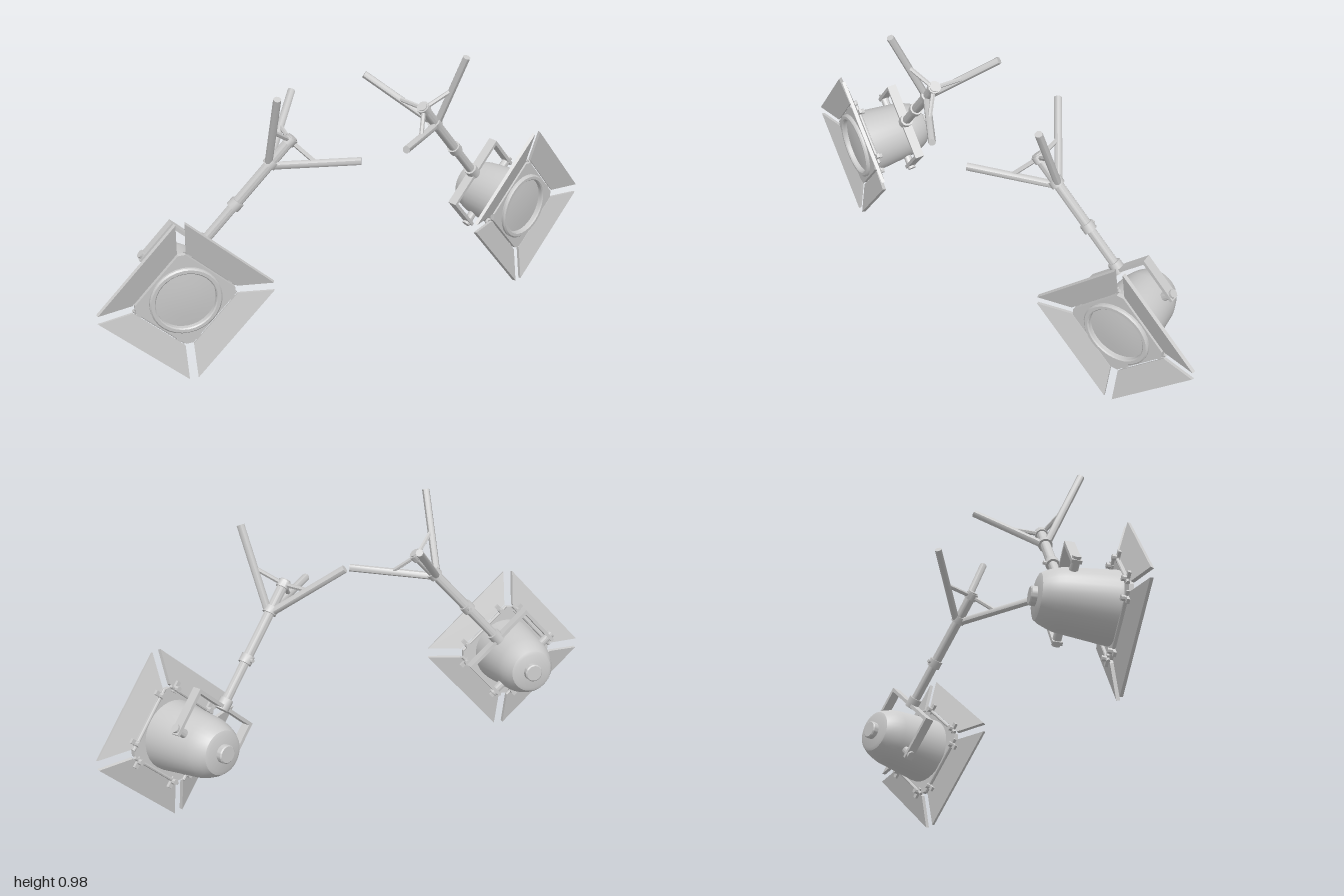
import * as THREE from 'three';
import { toCreasedNormals } from 'three/addons/utils/BufferGeometryUtils.js';

const mat = new THREE.MeshStandardMaterial({ color: 0xcccccc });
const V = (x, y, z) => new THREE.Vector3(x, y, z);

function add(parent, name, geo, x = 0, y = 0, z = 0) {
  const m = new THREE.Mesh(geo, mat);
  m.name = name;
  m.position.set(x, y, z);
  parent.add(m);
  return m;
}

// round bar between two points
function bar(parent, name, a, b, r, sides = 8) {
  const d = b.clone().sub(a);
  const geo = toCreasedNormals(new THREE.CylinderGeometry(r, r, d.length(), sides), 0.9);
  const m = add(parent, name, geo);
  m.position.copy(a).addScaledVector(d, 0.5);
  m.quaternion.setFromUnitVectors(V(0, 1, 0), d.normalize());
}

// turned part along local z; points are [radius, z] from back to front
function turned(parent, name, pts) {
  const geo = new THREE.LatheGeometry(pts.map(p => new THREE.Vector2(p[0], p[1])), 32);
  geo.rotateX(Math.PI / 2);
  add(parent, name, toCreasedNormals(geo, 0.6));
}

function plate(points, depth, holeRadius) {
  const s = new THREE.Shape(points.map(p => new THREE.Vector2(p[0], p[1])));
  if (holeRadius) {
    const h = new THREE.Path();
    h.absarc(0, 0, holeRadius, 0, Math.PI * 2, true);
    s.holes.push(h);
  }
  return new THREE.ExtrudeGeometry(s, { depth, bevelEnabled: false, curveSegments: 20 });
}

function buildHead(g) {
  // housing with domed back and cap
  turned(g, 'housing', [[0, -0.273], [0.064, -0.273], [0.076, -0.268], [0.087, -0.25],
    [0.098, -0.222], [0.104, -0.2], [0.122, -0.03], [0.122, -0.012], [0, -0.012]]);
  turned(g, 'backCap', [[0, -0.294], [0.028, -0.294], [0.032, -0.29], [0.032, -0.27]]);
  // lens and its rim
  turned(g, 'lensRim', [[0.124, -0.02], [0.124, 0.004], [0.119, 0.009], [0.108, 0.009],
    [0.104, 0.005], [0.104, -0.012]]);
  turned(g, 'lens', [[0.1045, -0.01], [0.06, -0.006], [0, -0.004]]);

  // square door frame with clipped corners
  const h = 0.13, c = 0.018;
  const square = [[-h + c, -h], [h - c, -h], [h, -h + c], [h, h - c],
    [h - c, h], [-h + c, h], [-h, h - c], [-h, -h + c]];
  add(g, 'doorFrame', plate(square, 0.016, 0.115), 0, 0, -0.02);

  // four flared barn doors with hinges
  for (let k = 0; k < 4; k++) {
    const side = new THREE.Group();
    side.name = 'barnDoor';
    side.rotation.z = k * Math.PI / 2;
    g.add(side);
    const panel = add(side, 'doorPanel',
      plate([[-0.116, 0], [0.116, 0], [0.201, 0.09], [-0.201, 0.09]], 0.012), 0, 0.14, -0.018);
    panel.rotation.x = 0.3;
    bar(side, 'hingeRod', V(-0.115, 0.134, -0.024), V(0.115, 0.134, -0.024), 0.006);
    for (const x of [-0.09, 0.09]) {
      add(side, 'hingeClip', new THREE.BoxGeometry(0.016, 0.04, 0.01), x, 0.142, -0.022);
      bar(side, 'hingeKnob', V(x, 0.137, -0.042), V(x, 0.137, -0.016), 0.01);
    }
  }
}

// everything below is carried by the pivot axis across the housing
const z = -0.174;

function buildYoke(g) {
  const w = 0.14;
  add(g, 'yokeCrossbar', new THREE.BoxGeometry(2 * w + 0.012, 0.012, 0.034), 0, 0.145, z);
  for (const s of [-1, 1]) {
    add(g, 'yokeArm', new THREE.BoxGeometry(0.012, 0.17, 0.034), s * w, 0.066, z);
    bar(g, 'pivotBolt', V(s * 0.095, 0, z), V(s * 0.155, 0, z), 0.015, 12);
  }
}

function buildStand(g) {
  const at = y => V(0, y, z);
  bar(g, 'poleSocket', at(0.135), at(0.175), 0.024, 12);
  bar(g, 'lowerPole', at(0.15), at(0.34), 0.0165, 12);
  bar(g, 'poleCollar', at(0.31), at(0.34), 0.024, 12);
  bar(g, 'collarScrew', V(0, 0.325, z), V(0, 0.325, z - 0.032), 0.007);
  bar(g, 'upperPole', at(0.325), at(0.63), 0.018, 12);
  bar(g, 'legHub', at(0.5), at(0.525), 0.025, 12);
  bar(g, 'braceHub', at(0.6), at(0.625), 0.023, 12);
  // tripod legs, each with a brace back to the pole
  for (let k = 0; k < 3; k++) {
    const a = Math.PI / 6 + k * Math.PI * 2 / 3;
    const p = (r, y) => V(r * Math.cos(a), y, z + r * Math.sin(a));
    bar(g, 'tripodLeg', p(0.012, 0.51), p(0.226, 0.718), 0.0135);
    bar(g, 'legBrace', p(0.015, 0.613), p(0.118, 0.613), 0.008, 6);
  }
}

export function createModel() {
  const root = new THREE.Group();
  root.name = 'stageLights';
  for (const s of [1, -1]) {
    const lamp = new THREE.Group();
    lamp.name = s > 0 ? 'leftLight' : 'rightLight';
    buildHead(lamp);
    buildYoke(lamp);
    buildStand(lamp);
    // aim along the beam with the stand pointing up and inward
    const beam = V(s * 0.25, -0.06, 0.97).normalize();
    const up = V(s * -0.633, 0.742, 0.209);
    up.addScaledVector(beam, -up.dot(beam)).normalize();
    const across = up.clone().cross(beam);
    lamp.quaternion.setFromRotationMatrix(new THREE.Matrix4().makeBasis(across, up, beam));
    lamp.position.set(s * 0.705, 0.305, 0.07);
    root.add(lamp);
  }
  return root;
}
